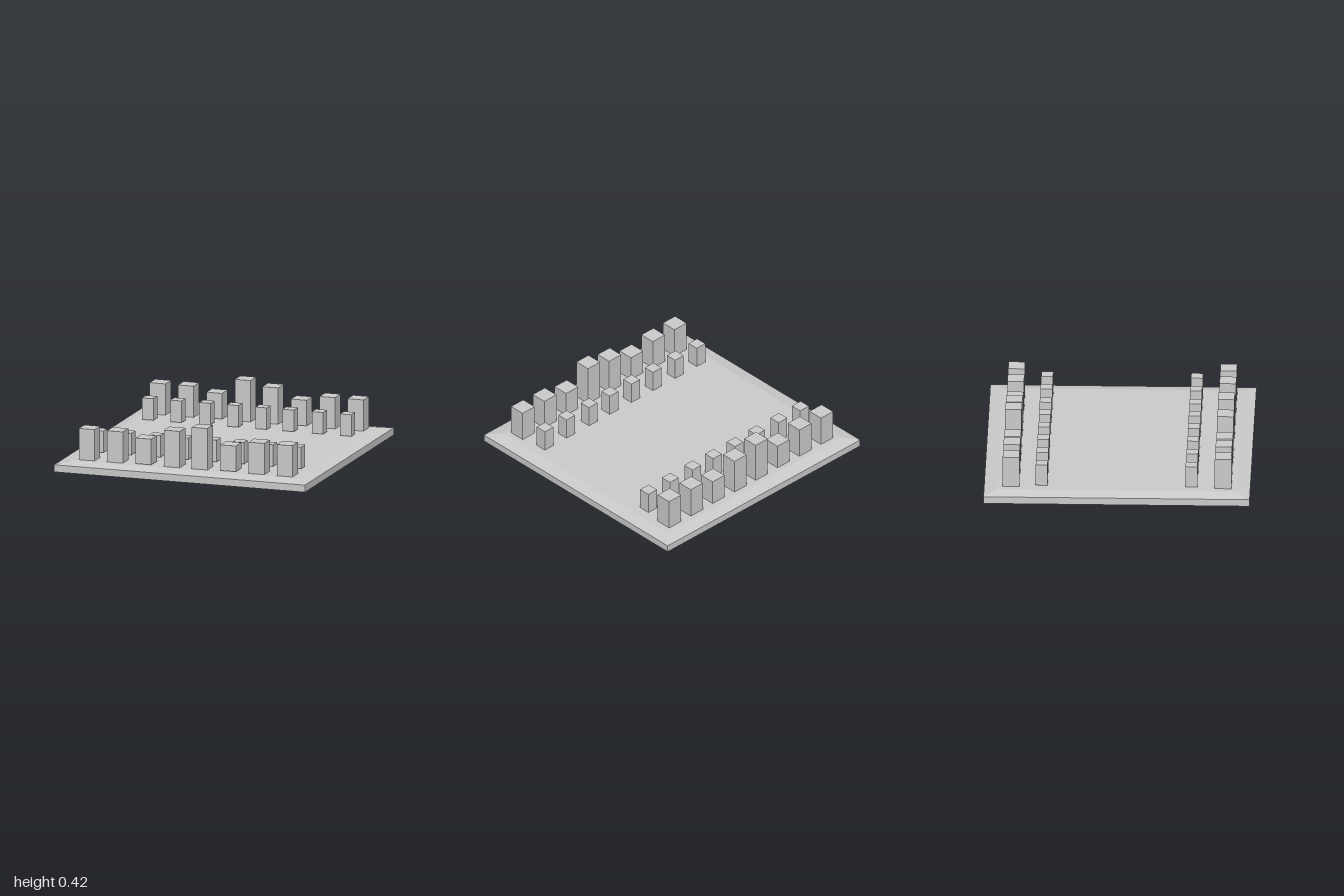
import * as THREE from 'three';

const material = new THREE.MeshStandardMaterial({ color: 0xcccccc, flatShading: true });

// Square slab with bevelled upper and lower rims
function makeBoard() {
  const profile = [[0, 0], [0.9, 0], [1, 0.025], [1, 0.08], [0.9, 0.1], [0, 0.1]]
    .map(([half, y]) => new THREE.Vector2(half * Math.SQRT2, y));
  const geometry = new THREE.LatheGeometry(profile, 4).rotateY(Math.PI / 4).toNonIndexed();
  geometry.computeVertexNormals();
  const board = new THREE.Mesh(geometry, material);
  board.name = 'board';
  return board;
}

// Square block standing between heights bottom and top
function makeBlock(name, x, z, width, bottom, top) {
  const block = new THREE.Mesh(new THREE.BoxGeometry(width, top - bottom, width), material);
  block.position.set(x, (bottom + top) / 2, z);
  block.name = name;
  return block;
}

export function createModel() {
  const model = new THREE.Group();
  model.name = 'chessSet';
  model.add(makeBoard());

  const names = ['rook', 'knight', 'bishop', 'queen', 'king', 'bishop', 'knight', 'rook'];
  const heights = { rook: 0.341, knight: 0.341, bishop: 0.303, queen: 0.381, king: 0.42 };
  const pieceX = [-0.79, -0.565, -0.338, -0.111, 0.109, 0.336, 0.563, 0.788];
  const pawnX = [-0.793, -0.568, -0.338, -0.114, 0.111, 0.327, 0.56, 0.785];

  // Two facing sides; the tallest pair swaps columns on the far side
  for (const side of [1, -1]) {
    const army = new THREE.Group();
    army.name = side > 0 ? 'frontPieces' : 'backPieces';
    const order = side > 0 ? names : [...names].reverse();
    order.forEach((name, i) => {
      const bottom = name === 'bishop' ? 0.105 : 0.1;
      army.add(makeBlock(name, pieceX[i], side * 0.797, 0.125, bottom, heights[name]));
      army.add(makeBlock('pawn', pawnX[i], side > 0 ? 0.559 : -0.567, 0.089, 0.105, 0.272));
    });
    model.add(army);
  }
  return model;
}
